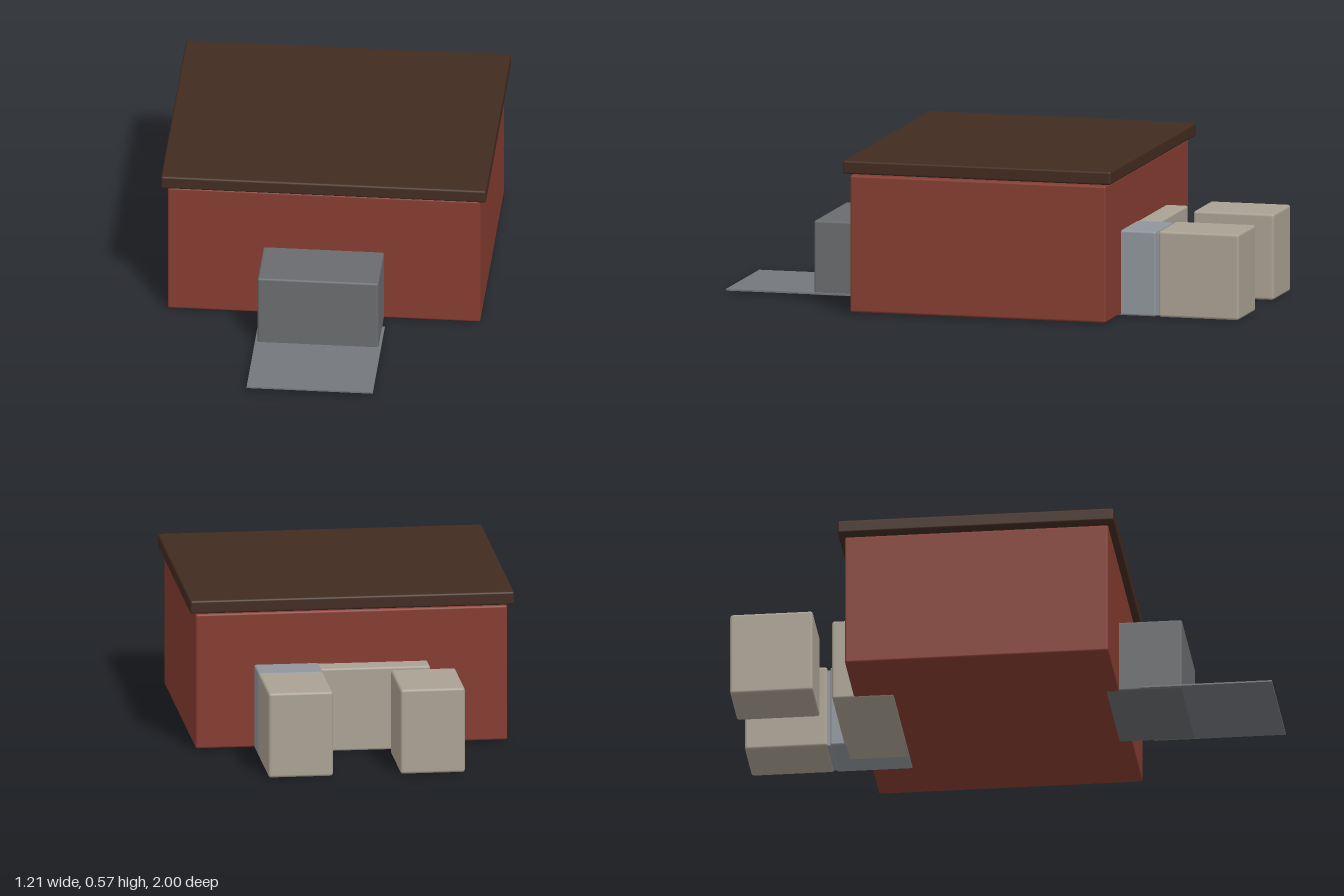
import * as THREE from 'three';
import { RoundedBoxGeometry } from 'three/addons/geometries/RoundedBoxGeometry.js';

const COLORS = { brick: 0x853c30, roof: 0x422b20, stone: 0xaaa193, steel: 0x8f969b, entry: 0x696b6e, paving: 0x74777c };

export function createModel() {
  const model = new THREE.Group();
  model.name = 'building';

  // Softly bevelled block given by its extents on each axis
  function block(name, color, [x0, x1], [y0, y1], [z0, z1], bevel = 0.008) {
    const size = [x1 - x0, y1 - y0, z1 - z0];
    const geometry = bevel ? new RoundedBoxGeometry(...size, 2, bevel) : new THREE.BoxGeometry(...size);
    const mesh = new THREE.Mesh(geometry, new THREE.MeshStandardMaterial({ color }));
    mesh.name = name;
    mesh.position.set((x0 + x1) / 2, (y0 + y1) / 2, (z0 + z1) / 2);
    model.add(mesh);
  }

  // Main hall, recessed band and overhanging flat roof
  block('mainHall', COLORS.brick, [-0.58, 0.58], [0.005, 0.517], [-0.55, 0.43]);
  block('roofBand', COLORS.stone, [-0.525, 0.525], [0.49, 0.54], [-0.515, 0.395], 0.005);
  block('roof', COLORS.roof, [-0.603, 0.603], [0.525, 0.575], [-0.575, 0.452]);

  // Front entrance and the paving before it
  block('entrance', COLORS.entry, [-0.225, 0.223], [0.004, 0.283], [0.38, 0.665]);
  block('frontPaving', COLORS.paving, [-0.235, 0.233], [0.008, 0.014], [0.51, 1.0], 0);

  // Rear annex: low wall, link and two detached blocks
  block('rearWall', COLORS.stone, [-0.283, 0.262], [0.001, 0.316], [-0.63, -0.4]);
  block('rearLink', COLORS.steel, [0.122, 0.362], [0.001, 0.319], [-0.682, -0.4]);
  block('linkJoint', COLORS.steel, [0.133, 0.352], [0.004, 0.311], [-0.72, -0.66], 0);
  for (const [name, x] of [['rearBlockRight', -0.249], ['rearBlockLeft', 0.242]]) {
    block(name, COLORS.stone, [x - 0.12, x + 0.12], [0, 0.322], [-1.0, -0.692], 0.01);
  }

  return model;
}
